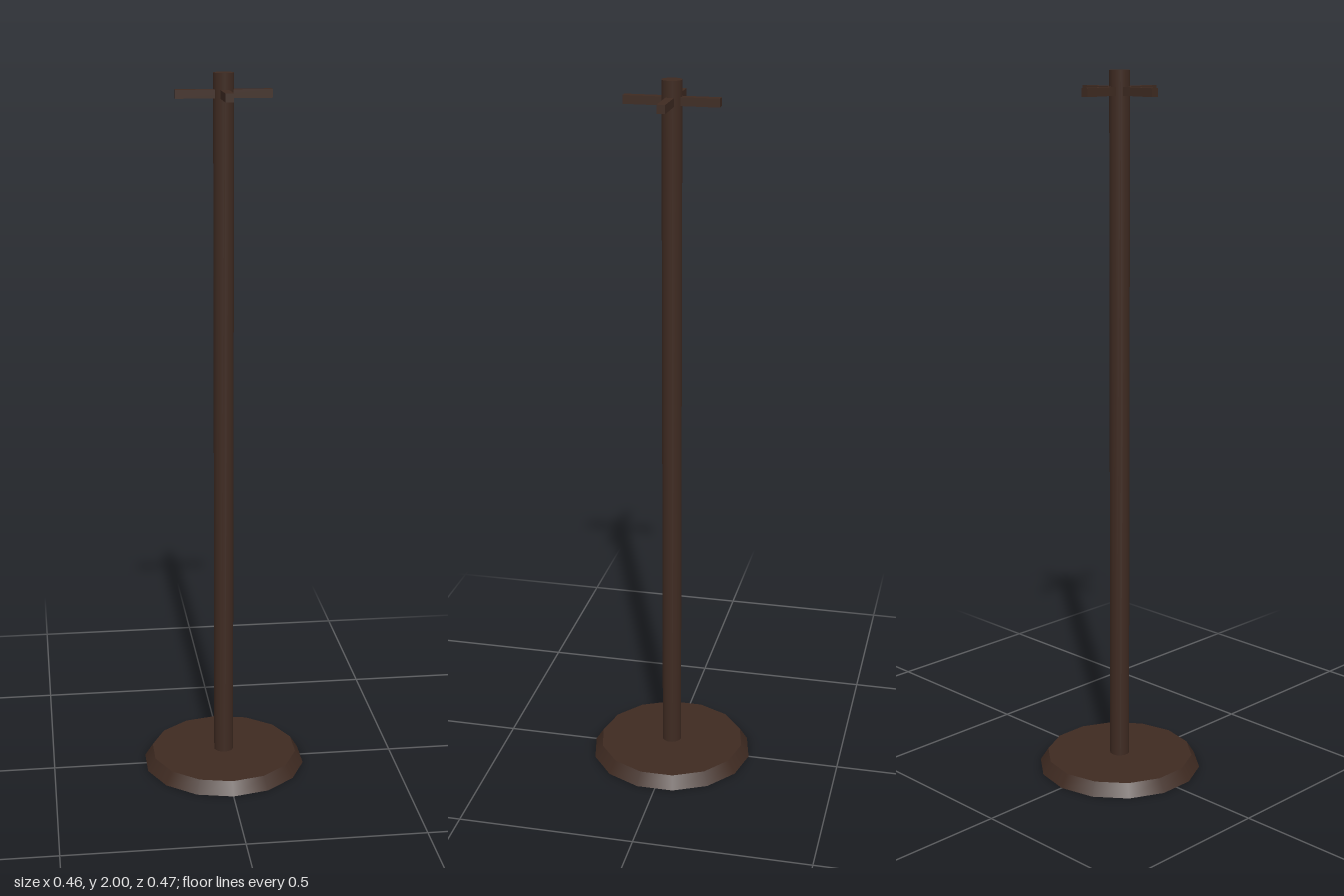
import * as THREE from 'three';

export function createModel() {
  const group = new THREE.Group();
  const darkWood = new THREE.MeshStandardMaterial({ color: 0x3e2a21 });
  darkWood.name = 'darkWood';

  const add = (name, geometry, y) => {
    const mesh = new THREE.Mesh(geometry, darkWood);
    mesh.name = name;
    mesh.position.y = y;
    group.add(mesh);
    return mesh;
  };

  // Tapered round foot
  const baseHeight = 0.036;
  add('base', new THREE.CylinderGeometry(0.212, 0.235, baseHeight, 14), baseHeight / 2);

  // Upright pole, standing on the foot
  const poleHeight = 2 - baseHeight;
  add('pole', new THREE.CylinderGeometry(0.028, 0.028, poleHeight, 14), baseHeight + poleHeight / 2);

  // Two crossed bars forming four pegs
  ['sidePegs', 'frontBackPegs'].forEach((name, i) => {
    add(name, new THREE.BoxGeometry(0.26, 0.023, 0.023), 1.945).rotation.y = i * Math.PI / 2;
  });

  return group;
}
